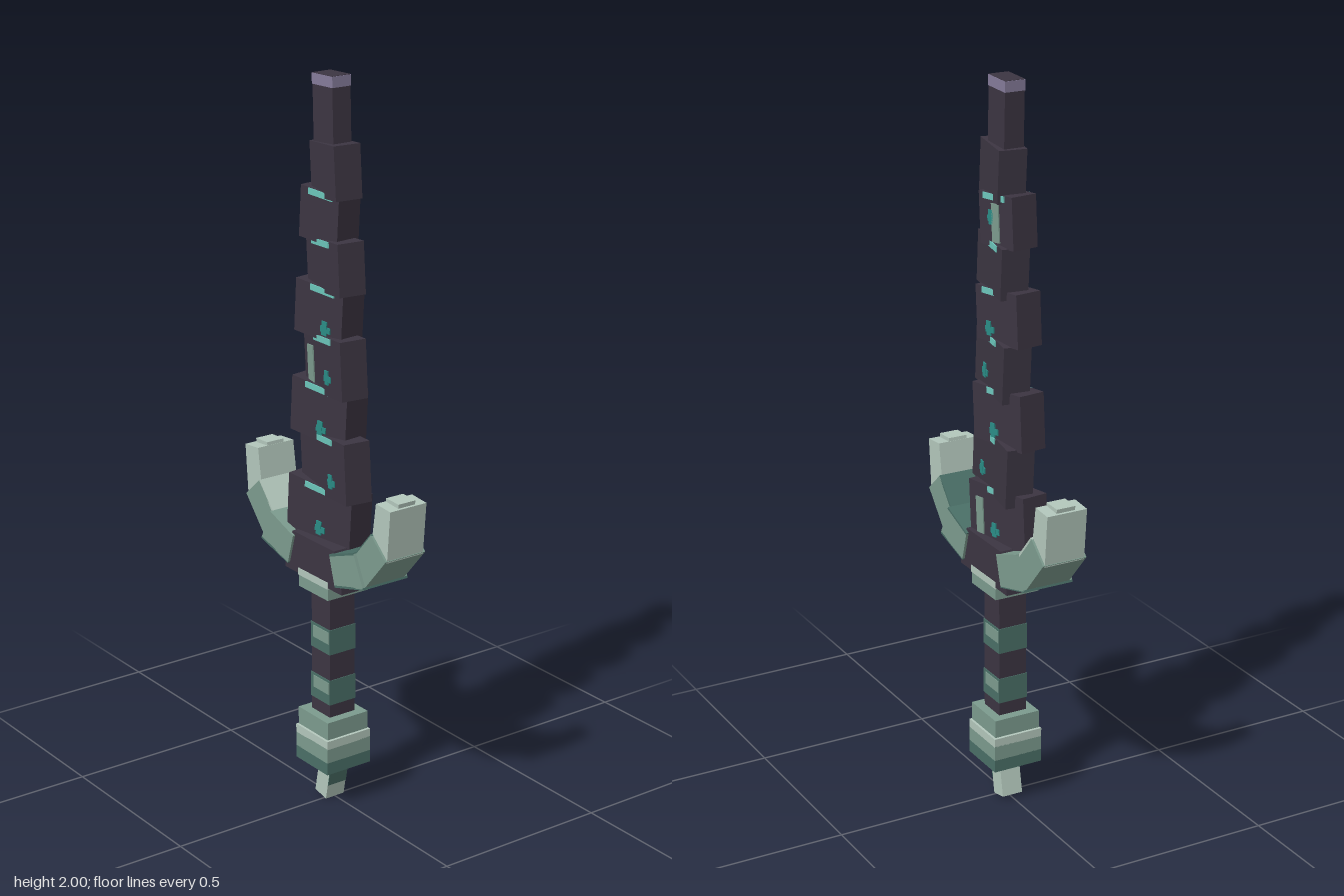
import * as THREE from 'three';

const mat = (name, color) => {
  const m = new THREE.MeshStandardMaterial({ color });
  m.name = name;
  return m;
};

export function createModel() {
  const dark = mat('dark plum', 0x3c3542);
  const lavender = mat('lavender', 0x857b9a);
  const light = mat('pale sage', 0xb3c7bc);
  const mid = mat('sage', 0x7c9b8e);
  const deep = mat('deep green', 0x4a6f67);
  const teal = mat('bright teal', 0x6cc6bb);
  const teal2 = mat('dark teal', 0x2a8c86);

  const root = new THREE.Group();

  const box = (parent, name, m, w, h, d, x, y, z = 0, rz = 0) => {
    const mesh = new THREE.Mesh(new THREE.BoxGeometry(w, h, d), m);
    mesh.name = name;
    mesh.position.set(x, y, z);
    mesh.rotation.z = rz;
    parent.add(mesh);
    return mesh;
  };

  // Straight-sided prism from a front outline, centred on z = 0
  const prism = (parent, name, m, points, halfDepth) => {
    const shape = new THREE.Shape(points.map(([x, y]) => new THREE.Vector2(x, y)));
    const geo = new THREE.ExtrudeGeometry(shape, { depth: halfDepth * 2, bevelEnabled: false });
    geo.translate(0, 0, -halfDepth);
    const mesh = new THREE.Mesh(geo, m);
    mesh.name = name;
    parent.add(mesh);
    return mesh;
  };

  // Thin plate lying along a line of the front outline
  const skin = (parent, name, m, [ax, ay], [bx, by], halfDepth) =>
    box(parent, name, m, Math.hypot(bx - ax, by - ay), 0.006, halfDepth * 2,
      (ax + bx) / 2, (ay + by) / 2, 0, Math.atan2(by - ay, bx - ax));

  // Blade: stacked blocks that lean and twist alternately
  // left, right, bottom, top
  const blocks = [
    [-0.137, 0.102, 0.74, 0.91],
    [-0.108, 0.13, 0.89, 1.055],
    [-0.122, 0.085, 1.035, 1.187],
    [-0.085, 0.108, 1.168, 1.325],
    [-0.105, 0.07, 1.312, 1.455],
    [-0.072, 0.095, 1.442, 1.58],
    [-0.085, 0.055, 1.568, 1.705],
    [-0.052, 0.075, 1.688, 1.828],
  ];
  const T = 0.076;
  const seamX = [-0.028, 0.022, -0.025, 0.015, -0.005, 0.005, -0.01];
  const flecks = [[-0.01, 0.79], [0.055, 0.935], [-0.005, 1.07], [0.035, 1.215], [0.012, 1.345]];
  const blade = new THREE.Group();
  blade.name = 'blade';
  root.add(blade);
  blocks.forEach(([l, r, b, t], i) => {
    const s = i % 2 ? 1 : -1;
    const cx = (l + r) / 2, cy = (b + t) / 2, h = t - b;
    const g = new THREE.Group();
    g.name = 'bladeSegment' + (i + 1);
    g.position.set(cx, cy, 0);
    g.rotation.set(0, -s * 0.13, s * 0.07, 'ZYX');
    blade.add(g);
    box(g, 'bladeBlock', dark, r - l, h, T, 0, 0);
    for (const side of [1, -1]) {
      const z = side * (T / 2 + 0.001);
      // Glowing seam near the top of each block
      if (i < 7) box(g, 'glowSeam', teal, 0.088, 0.016, 0.005, seamX[i] - cx, h / 2 - 0.009, z);
      // Small stepped flecks
      const f = flecks[i] || (i === 6 && side < 0 ? [0, 1.64] : null);
      if (f) {
        const fx = f[0] - cx, fy = f[1] - cy;
        box(g, 'fleck', teal2, 0.036, 0.016, 0.004, fx, fy, z);
        box(g, 'fleck', teal2, 0.018, 0.038, 0.005, fx - side * 0.004, fy + 0.003, z);
      }
    }
    // Sage inlays
    const inlay = (x, y, side) =>
      box(g, 'inlay', mid, 0.03, 0.1, 0.005, x - cx, y - cy, side * (T / 2 + 0.001));
    if (i === 3) inlay(-0.05, 1.24, 1);
    if (i === 6) inlay(-0.015, 1.63, -1);
    if (i === 0) inlay(0.055, 0.82, -1);
  });

  // Blade tip with a pale band below its dark end
  const tip = new THREE.Group();
  tip.name = 'bladeTip';
  tip.position.set(-0.005, 1.9, 0);
  tip.rotation.z = 0.03;
  root.add(tip);
  box(tip, 'tipBlock', dark, 0.084, 0.198, 0.056, 0, 0);
  box(tip, 'tipBand', lavender, 0.087, 0.028, 0.058, 0, 0.084);

  // Guard: flared core and two curved horns
  const guard = new THREE.Group();
  guard.name = 'guard';
  root.add(guard);
  prism(guard, 'guardCore', dark,
    [[-0.127, 0.652], [0.127, 0.652], [0.125, 0.675], [0.093, 0.765], [-0.093, 0.765], [-0.125, 0.675]], 0.066);

  for (const s of [1, -1]) {
    const horn = new THREE.Group();
    horn.name = s > 0 ? 'leftHorn' : 'rightHorn';
    guard.add(horn);
    const mir = (pts) => pts.map(([x, y]) => [x * s, y]);
    const A = mir([[0.105, 0.672], [0.228, 0.705], [0.187, 0.79], [0.082, 0.752]]);
    const B = mir([[0.22, 0.7], [0.312, 0.805], [0.25, 0.86], [0.184, 0.785]]);
    const C = mir([[0.31, 0.8], [0.322, 0.943], [0.262, 0.948], [0.248, 0.855]]);
    const D = mir([[0.314, 0.94], [0.316, 0.955], [0.264, 0.957], [0.262, 0.94]]);
    prism(horn, 'hornBase', mid, A, 0.073);
    prism(horn, 'hornMiddle', mid, B, 0.064);
    prism(horn, 'hornEnd', light, C, 0.058);
    prism(horn, 'hornCap', light, D, 0.027);
    // Inner faces differ in tone, the lower face is deep green
    const inner = s > 0 ? deep : light;
    skin(horn, 'hornInnerFace', s > 0 ? deep : mid, A[2], A[3], 0.073);
    skin(horn, 'hornInnerFace', inner, B[2], B[3], 0.064);
    skin(horn, 'hornUnderside', deep, A[0], A[1], 0.073);
  }

  // Collar under the guard
  box(root, 'collar', mid, 0.13, 0.05, 0.13, 0, 0.64);
  box(root, 'collarTrim', light, 0.134, 0.02, 0.134, 0, 0.658);

  // Grip with green wraps
  box(root, 'grip', dark, 0.082, 0.38, 0.082, 0, 0.435);
  for (const y of [0.48, 0.333]) {
    box(root, 'gripWrap', deep, 0.086, 0.072, 0.086, 0, y);
    for (const z of [1, -1]) {
      box(root, 'wrapHighlight', mid, 0.07, 0.034, 0.004, 0.006 * z, y + 0.012, z * 0.043);
    }
  }

  // Stepped pommel
  box(root, 'pommelNeck', mid, 0.134, 0.05, 0.134, 0, 0.235);
  box(root, 'pommelTop', light, 0.144, 0.024, 0.144, 0, 0.196);
  box(root, 'pommelMiddle', mid, 0.144, 0.042, 0.144, 0, 0.165);
  box(root, 'pommelBase', deep, 0.144, 0.036, 0.144, 0, 0.127);

  // Slanted spike at the bottom
  const spike = new THREE.Group();
  spike.name = 'spike';
  spike.position.set(-0.005, 0.066, 0);
  spike.rotation.z = -0.19;
  root.add(spike);
  box(spike, 'spikeBlock', light, 0.05, 0.125, 0.06, 0, 0);
  box(spike, 'spikeSide', deep, 0.004, 0.08, 0.06, 0.025, 0.022);

  return root;
}
